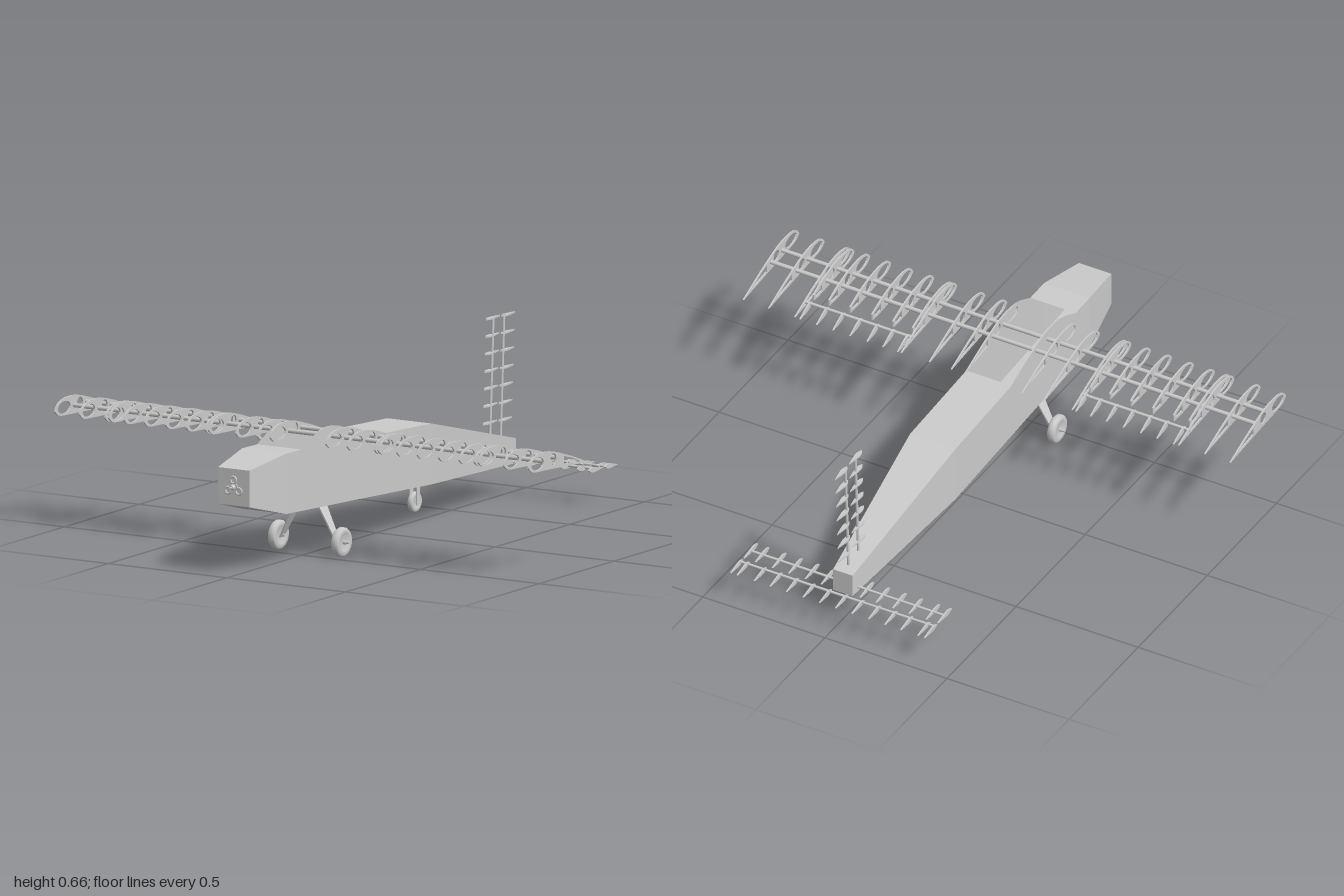
import * as THREE from 'three';

const grey = new THREE.MeshStandardMaterial({ color: 0xcccccc });
const sheet = new THREE.MeshStandardMaterial({ color: 0xcccccc, side: THREE.DoubleSide, flatShading: true });

function add(parent, name, geo, mat = grey) {
  const m = new THREE.Mesh(geo, mat);
  m.name = name;
  parent.add(m);
  return m;
}

// Round bar between two points
function bar(parent, name, a, b, r, r2 = r) {
  const p = new THREE.Vector3(...a), q = new THREE.Vector3(...b);
  const m = add(parent, name, new THREE.CylinderGeometry(r2, r, p.distanceTo(q), 12));
  m.position.copy(p).add(q).multiplyScalar(0.5);
  m.quaternion.setFromUnitVectors(new THREE.Vector3(0, 1, 0), q.sub(p).normalize());
  return m;
}

const pts = (list) => list.map(([a, b]) => new THREE.Vector2(a, b));

// Thin plate whose shape is drawn in (z, y) and which is centred on x = 0
function sidePlate(shape, t) {
  return new THREE.ExtrudeGeometry(shape, { depth: t, bevelEnabled: false, curveSegments: 8 })
    .translate(0, 0, -t / 2).rotateY(-Math.PI / 2);
}

function ellipseHole(z, y, rz, ry) {
  return new THREE.Path().absellipse(z, y, rz, ry, 0, Math.PI * 2, true, 0);
}

// Wing rib with lightening holes; a short rib stops ahead of the aileron
function wingRib(full) {
  const s = new THREE.Shape();
  const top = full ? [[0.42, 0.467], [0.3, 0.434], [0.17, 0.388]] : [[0.42, 0.467], [0.34, 0.449], [0.275, 0.426]];
  s.moveTo(0.571, 0.43);
  s.splineThru(pts([[0.55, 0.455], [0.5, 0.47], ...top]));
  if (!full) s.lineTo(0.275, 0.4);
  s.splineThru(pts([[0.33, 0.398], [0.45, 0.404], [0.54, 0.41], [0.571, 0.43]]));
  s.holes.push(ellipseHole(0.51, 0.436, 0.042, 0.023), ellipseHole(0.405, 0.436, 0.02, 0.022));
  s.holes.push(new THREE.Path(pts(full
    ? [[0.335, 0.436], [0.335, 0.408], [0.29, 0.404], [0.22, 0.397], [0.28, 0.421]]
    : [[0.335, 0.436], [0.335, 0.408], [0.29, 0.407], [0.29, 0.424]])));
  return sidePlate(s, 0.006);
}

// Slim streamlined rib from z0 (blunt end) to z1 (pointed end)
function slimRib(z0, z1, y0, y1, h) {
  const s = new THREE.Shape();
  const at = (t, d) => [z0 + (z1 - z0) * t, y0 + (y1 - y0) * t + d];
  s.moveTo(...at(0, 0));
  s.splineThru(pts([at(0.15, h * 0.8), at(0.4, h), at(1, 0)]));
  s.splineThru(pts([at(0.4, -h), at(0.15, -h * 0.8), at(0, 0)]));
  return sidePlate(s, 0.006);
}

// Fuselage skin: box sections [z, half width, top, bottom], open over the cabin
function fuselage() {
  const S = [[0.955, 0.066, 0.388, 0.255], [0.75, 0.093, 0.42, 0.2], [0.65, 0.093, 0.418, 0.195],
    [0.58, 0.093, 0.452, 0.191], [0.54, 0.093, 0.465, 0.189], [0.48, 0.093, 0.47, 0.186], [0.4, 0.093, 0.464, 0.182],
    [0.3, 0.093, 0.434, 0.177], [0.18, 0.093, 0.391, 0.17], [-0.22, 0.093, 0.37, 0.149], [-0.87, 0.04, 0.205, 0.115]];
  const v = [];
  const corners = ([z, w, t, b]) => [[w, b, z], [w, t, z], [-w, t, z], [-w, b, z]];
  const quad = (a, b, c, d) => v.push(...a, ...b, ...c, ...a, ...c, ...d);
  for (let i = 0; i < S.length - 1; i++) {
    const f = corners(S[i]), r = corners(S[i + 1]);
    for (let k = 0; k < 4; k++) {
      if (k === 1 && i >= 2 && i <= 7) continue;
      const n = (k + 1) % 4;
      quad(f[k], r[k], r[n], f[n]);
    }
  }
  quad(...corners(S[0]));
  quad(...corners(S[S.length - 1]).reverse());
  const g = new THREE.BufferGeometry();
  g.setAttribute('position', new THREE.Float32BufferAttribute(v, 3));
  g.computeVertexNormals();
  return g;
}

// Wheel with a rounded tyre, lying along x
function wheel(parent, name, x, y, z, r, w) {
  const p = [[0, -w * 0.3], [r * 0.5, -w * 0.3], [r * 0.58, -w * 0.5], [r * 0.88, -w * 0.5], [r, -w * 0.25],
    [r, w * 0.25], [r * 0.88, w * 0.5], [r * 0.58, w * 0.5], [r * 0.5, w * 0.3], [0, w * 0.3]];
  const m = add(parent, name, new THREE.LatheGeometry(pts(p), 32).rotateZ(Math.PI / 2));
  m.position.set(x, y, z);
  bar(parent, name + 'Axle', [x - w * 0.7, y, z], [x + w * 0.7, y, z], r * 0.14);
}

export function createModel() {
  const model = new THREE.Group();
  add(model, 'fuselage', fuselage(), sheet);
  add(model, 'cabinBulkhead', new THREE.BoxGeometry(0.17, 0.02, 0.014)).position.set(0, 0.38, 0.182);
  add(model, 'cabinTray', new THREE.BoxGeometry(0.09, 0.01, 0.15)).position.set(0, 0.22, 0.555);

  // Motor and its three-armed mount on the nose
  const motor = new THREE.Group();
  motor.name = 'motor';
  model.add(motor);
  bar(motor, 'motorPlate', [0, 0.322, 0.953], [0, 0.322, 0.96], 0.018);
  for (let i = 0; i < 3; i++) {
    const a = Math.PI / 2 + i * Math.PI * 2 / 3;
    const x = Math.cos(a) * 0.026, y = 0.322 + Math.sin(a) * 0.026;
    add(motor, 'mountRing', new THREE.TorusGeometry(0.012, 0.004, 8, 20)).position.set(x, y, 0.957);
  }
  bar(motor, 'motorCone', [0, 0.322, 0.958], [0, 0.322, 0.972], 0.012, 0.007);
  bar(motor, 'motorShaft', [0, 0.322, 0.97], [0, 0.322, 0.983], 0.004);

  // Wing frame: two spars and ribs mirrored on both sides
  const wing = new THREE.Group();
  wing.name = 'wing';
  model.add(wing);
  bar(wing, 'rearSpar', [-1, 0.434, 0.365], [1, 0.434, 0.365], 0.008);
  bar(wing, 'frontSpar', [-1, 0.434, 0.446], [1, 0.434, 0.446], 0.008);
  const fullRib = wingRib(true), shortRib = wingRib(false);
  const aileronRib = slimRib(0.258, 0.17, 0.409, 0.386, 0.011);
  for (const s of [-1, 1]) {
    for (const x of [0.09, 0.145, 0.235, 0.35, 0.786, 0.893, 0.997])
      add(wing, 'fullRib', fullRib).position.x = s * x;
    for (const x of [0.364, 0.444, 0.53, 0.62, 0.706, 0.77])
      add(wing, 'shortRib', shortRib).position.x = s * x;
    bar(wing, 'aileronSpar', [s * 0.345, 0.408, 0.246], [s * 0.79, 0.408, 0.246], 0.006);
    for (const x of [0.365, 0.425, 0.49, 0.56, 0.63, 0.697, 0.765])
      add(wing, 'aileronRib', aileronRib).position.x = s * x;
  }

  // Tailplane and elevator frames
  const tail = new THREE.Group();
  tail.name = 'tailplane';
  model.add(tail);
  bar(tail, 'tailplaneSpar', [-0.4, 0.136, -0.835], [0.4, 0.136, -0.835], 0.005);
  bar(tail, 'elevatorSpar', [-0.4, 0.133, -0.906], [0.4, 0.133, -0.906], 0.005);
  const stabRib = slimRib(-0.785, -0.885, 0.137, 0.134, 0.009);
  const elevatorRib = slimRib(-0.892, -0.981, 0.134, 0.13, 0.008);
  for (const s of [-1, 1]) {
    for (const x of [0.397, 0.35, 0.28, 0.213, 0.145, 0.08]) add(tail, 'tailplaneRib', stabRib).position.x = s * x;
    for (const x of [0.397, 0.37, 0.3, 0.235, 0.168, 0.1, 0.033]) add(tail, 'elevatorRib', elevatorRib).position.x = s * x;
  }

  // Upright fin and rudder frames
  const fin = new THREE.Group();
  fin.name = 'fin';
  model.add(fin);
  bar(fin, 'finSpar', [0, 0.22, -0.757], [0, 0.658, -0.78], 0.005);
  bar(fin, 'rudderSpar', [0, 0.2, -0.828], [0, 0.655, -0.852], 0.005);
  const flatRib = (z0, z1) => {
    const s = new THREE.Shape(), l = z1 - z0;
    s.moveTo(0, z0);
    s.splineThru(pts([[0.007, z0 + l * 0.15], [0.009, z0 + l * 0.4], [0, z1]]));
    s.splineThru(pts([[-0.009, z0 + l * 0.4], [-0.007, z0 + l * 0.15], [0, z0]]));
    return new THREE.ExtrudeGeometry(s, { depth: 0.006, bevelEnabled: false, curveSegments: 8 })
      .translate(0, 0, -0.003).rotateX(Math.PI / 2);
  };
  const finRib = flatRib(-0.71, -0.805), rudderRib = flatRib(-0.815, -0.905);
  for (let i = 0; i < 7; i++) {
    const y = 0.275 + i * 0.063;
    add(fin, 'finRib', finRib).position.set(0, y + 0.001, -i * 0.0035);
    add(fin, 'rudderRib', rudderRib).position.set(0, y - 0.003, -i * 0.0035);
  }

  // Main landing gear: tapered splayed legs and wheels
  const legShape = new THREE.Shape(pts([[0.472, 0.19], [0.418, 0.19], [0.433, 0.045], [0.457, 0.045]]));
  for (const s of [-1, 1]) {
    const gear = new THREE.Group();
    gear.name = s > 0 ? 'leftGear' : 'rightGear';
    model.add(gear);
    const leg = sidePlate(legShape, 0.007);
    const p = leg.attributes.position;
    for (let i = 0; i < p.count; i++)
      p.setX(i, p.getX(i) + s * (0.045 + (0.19 - p.getY(i)) * 0.52));
    leg.computeVertexNormals();
    add(gear, 'gearLeg', leg);
    bar(gear, 'gearAxle', [s * 0.105, 0.053, 0.445], [s * 0.165, 0.053, 0.445], 0.005);
    wheel(gear, 'mainWheel', s * 0.133, 0.053, 0.445, 0.053, 0.03);
  }

  // Rear wheel in a fork
  const rear = new THREE.Group();
  rear.name = 'rearGear';
  model.add(rear);
  wheel(rear, 'rearWheel', 0, 0.071, -0.255, 0.037, 0.02);
  for (const s of [-1, 1])
    add(rear, 'forkArm', new THREE.BoxGeometry(0.004, 0.088, 0.022)).position.set(s * 0.014, 0.104, -0.255);
  add(rear, 'forkTop', new THREE.BoxGeometry(0.032, 0.008, 0.03)).position.set(0, 0.146, -0.255);
  return model;
}
